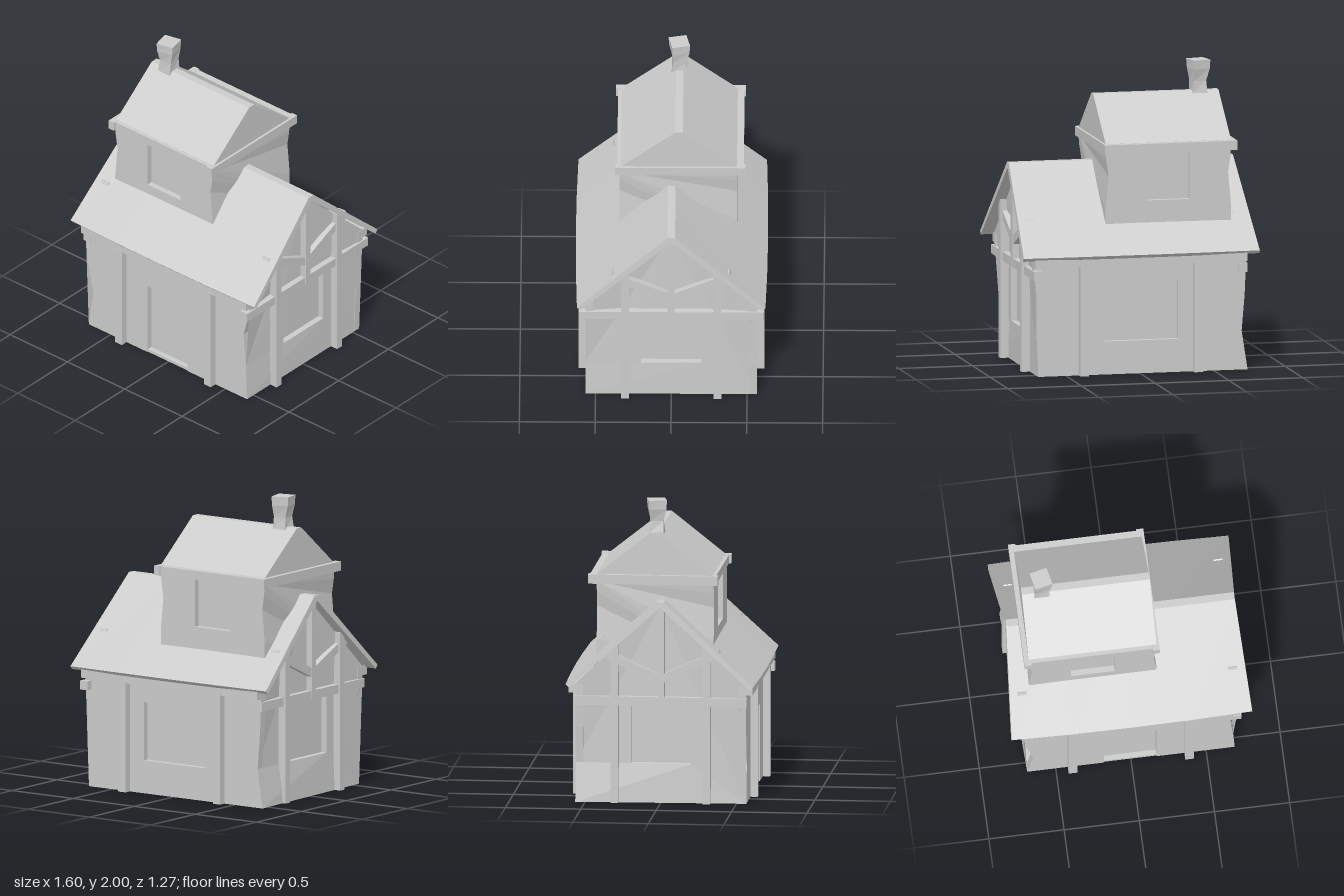
import * as THREE from 'three';

const grey = new THREE.MeshStandardMaterial({ color: 0xcccccc, side: THREE.DoubleSide });

export function createModel() {
  const house = new THREE.Group();
  house.name = 'house';

  function add(name, geo) {
    const m = new THREE.Mesh(geo, grey);
    m.name = name;
    house.add(m);
    return m;
  }

  // Box given by its extents on each axis
  function box(name, x0, x1, y0, y1, z0, z1) {
    const m = add(name, new THREE.BoxGeometry(x1 - x0, y1 - y0, z1 - z0));
    m.position.set((x0 + x1) / 2, (y0 + y1) / 2, (z0 + z1) / 2);
    return m;
  }

  // Wall panel: outline points are [u, y, outward bulge]; opening is [u0, u1, y0, y1]
  const DEPTH = 0.05;
  function wall(name, turn, position, outline, opening) {
    const shape = new THREE.Shape(outline.map(([u, y]) => new THREE.Vector2(u, y)));
    const group = new THREE.Group();
    group.name = name;
    if (opening) {
      const [a, b, c, d] = opening;
      shape.holes.push(new THREE.Path([[a, c], [a, d], [b, d], [b, c]].map(p => new THREE.Vector2(...p))));
      const pane = new THREE.Mesh(new THREE.BoxGeometry(b - a + 0.04, d - c + 0.04, 0.02), grey);
      pane.name = name + 'Pane';
      pane.position.set((a + b) / 2, (c + d) / 2, -0.05);
      group.add(pane);
    }
    const geo = new THREE.ExtrudeGeometry(shape, { depth: DEPTH, bevelEnabled: false });
    geo.translate(0, 0, -DEPTH);
    const p = geo.attributes.position;
    for (let i = 0; i < p.count; i++) {
      const hit = outline.find(([u, y]) => Math.abs(u - p.getX(i)) < 1e-4 && Math.abs(y - p.getY(i)) < 1e-4);
      if (hit) p.setZ(i, p.getZ(i) + (hit[2] || 0));
    }
    geo.computeVertexNormals();
    const panel = new THREE.Mesh(geo, grey);
    panel.name = name + 'Panel';
    group.add(panel);
    group.rotation.y = turn;
    group.position.set(...position);
    house.add(group);
  }

  // Crooked corners of the ground floor: distance from x = 0 at each height
  const heights = [0, 0.26, 0.5, 0.72, 0.79];
  const frontLeft = [0.69, 0.68, 0.66, 0.72, 0.72];
  const frontRight = [0.69, 0.65, 0.7, 0.72, 0.72];
  const backLeft = [0.69, 0.7, 0.7, 0.72, 0.72];
  const backRight = [0.73, 0.69, 0.71, 0.72, 0.72];
  const HALF_Z = 0.565, SIDE_X = 0.69;

  const longWall = (minus, plus, bottom = []) => [
    ...heights.map((y, i) => [-minus[i], y]).reverse(),
    ...bottom,
    ...heights.map((y, i) => [plus[i], y]),
  ];
  const gableWall = (minus, plus) => [
    ...heights.map((y, i) => [-HALF_Z, y, minus[i] - SIDE_X]).reverse(),
    ...heights.map((y, i) => [HALF_Z, y, plus[i] - SIDE_X]),
    [0, 1.32, 0],
  ];

  const doorway = [[-0.18, 0], [-0.18, 0.52], [0.17, 0.52], [0.17, 0]];
  wall('frontWall', 0, [0, 0, HALF_Z], longWall(frontRight, frontLeft, doorway));
  box('door', -0.2, 0.19, 0, 0.54, HALF_Z - 0.06, HALF_Z - 0.04);
  wall('backWall', Math.PI, [0, 0, -HALF_Z], longWall(backLeft, backRight), [-0.24, 0.26, 0.22, 0.61]);
  wall('leftWall', Math.PI / 2, [SIDE_X, 0, 0], gableWall(frontLeft, backLeft), [-0.2, 0.2, 0.26, 0.65]);
  wall('rightWall', -Math.PI / 2, [-SIDE_X, 0, 0], gableWall(backRight, frontRight), [-0.2, 0.2, 0.26, 0.65]);
  box('floor', -0.69, 0.69, 0, 0.02, -0.56, 0.56);

  // Timber frame on the long sides
  for (const s of [1, -1]) {
    const span = (a, b) => (s > 0 ? [a, b] : [-b, -a]);
    const side = s > 0 ? 'front' : 'back';
    box(side + 'Beam', -0.72, 0.72, 0.73, 0.79, ...span(0.55, 0.61));
    for (const x of [-0.39, 0.385]) box(side + 'Post', x - 0.03, x + 0.03, 0, 0.74, ...span(0.54, 0.613));
  }

  // Timber frame on the gable sides
  for (const s of [1, -1]) {
    const span = (a, b) => (s > 0 ? [a, b] : [-b, -a]);
    const half = s > 0 ? 0.61 : 0.57;
    box('gableBeam', ...span(0.67, 0.73), 0.65, 0.71, -half, half);
    box('kingPost', ...span(0.67, 0.735), 0.66, 1.33, -0.02, 0.025);
    for (const t of [1, -1]) {
      box('gablePost', ...span(0.67, 0.745), 0, 1.06, t * 0.305 - 0.025, t * 0.305 + 0.025);
      const brace = box('gableBrace', ...span(0.67, 0.73), 0.89, 0.945, -0.215, 0.215);
      brace.position.z = t * 0.2;
      brace.rotation.x = -t * Math.atan(0.46);
    }
  }

  // Main roof: a chevron slab, flared towards the eaves and slightly bowed along its length
  const chevron = new THREE.Shape([
    [0.622, 0.8], [0.025, 1.35], [-0.025, 1.35], [-0.622, 0.8], [-0.6, 0.778], [0, 1.315], [0.6, 0.778],
  ].map(p => new THREE.Vector2(...p)));
  const roof = new THREE.ExtrudeGeometry(chevron, { depth: 2, steps: 4, bevelEnabled: false });
  roof.translate(0, 0, -1).rotateY(Math.PI / 2);
  const rp = roof.attributes.position;
  for (let i = 0; i < rp.count; i++) {
    const t = rp.getX(i), y = rp.getY(i);
    rp.setX(i, t * (0.76 + 0.04 * (1.35 - y) / 0.55));
    rp.setZ(i, rp.getZ(i) * (1 + 0.02 * (1 - t * t)));
  }
  roof.computeVertexNormals();
  add('mainRoof', roof);

  // Upper storey with pinched corners
  const CX = -0.225, CZ = -0.043, HX = 0.425, HZ = 0.388;
  const upperEdge = [[0.94, 0], [1.08, 0], [1.3, -0.02], [1.4, -0.005], [1.47, 0]];
  const upperOutline = (half, pinchU, pinchOut) => [
    ...upperEdge.map(([y, d]) => [-half - d * pinchU, y, d * pinchOut]).reverse(),
    ...upperEdge.map(([y, d]) => [half + d * pinchU, y, d * pinchOut]),
  ];
  const upperLong = upperOutline(HX, 1, 0), upperShort = upperOutline(HZ, 0, 1);
  wall('upperFrontWall', 0, [CX, 0, CZ + HZ], upperLong, [-0.145, 0.145, 1.13, 1.45]);
  wall('upperBackWall', Math.PI, [CX, 0, CZ - HZ], upperLong, [-0.145, 0.145, 1.13, 1.45]);
  wall('upperLeftWall', Math.PI / 2, [CX + HX, 0, CZ], upperShort);
  wall('upperRightWall', -Math.PI / 2, [CX - HX, 0, CZ], upperShort);

  // Eaves beams around the upper storey
  box('upperFrontBeam', -0.66, 0.2, 1.456, 1.514, 0.3, 0.36);
  box('upperBackBeam', -0.66, 0.2, 1.456, 1.514, -0.475, -0.41);
  box('upperLeftBeam', 0.17, 0.217, 1.454, 1.516, -0.485, 0.375);
  box('upperRightBeam', -0.682, -0.635, 1.454, 1.516, -0.485, 0.375);

  // Upper roof: solid gabled prism
  const gable = new THREE.Shape([
    [-0.382, 1.46], [0.382, 1.46], [0.382, 1.515], [0.025, 1.797], [-0.025, 1.797], [-0.382, 1.515],
  ].map(p => new THREE.Vector2(...p)));
  const upperRoof = new THREE.ExtrudeGeometry(gable, { depth: 0.85, bevelEnabled: false });
  upperRoof.translate(0, 0, -0.425).rotateY(Math.PI / 2).translate(CX, 0, CZ - 0.005);
  add('upperRoof', upperRoof);

  // Chimney: crooked square stack, rows of [height, half width, twist, x shift]
  const rows = [[1.7, 0.05, 0, 0], [1.78, 0.05, 0, 0], [1.86, 0.044, 0.1, 0.004], [1.94, 0.057, 0.2, 0], [2, 0.06, 0.22, 0]];
  const stack = new THREE.BoxGeometry(2, rows.length - 1, 2, 1, rows.length - 1, 1).toNonIndexed();
  const sp = stack.attributes.position;
  for (let i = 0; i < sp.count; i++) {
    const [y, w, a, dx] = rows[Math.round(sp.getY(i) + (rows.length - 1) / 2)];
    const x = sp.getX(i) * w, z = sp.getZ(i) * w;
    sp.setXYZ(i, -0.52 + dx + x * Math.cos(a) + z * Math.sin(a), y, -0.045 - x * Math.sin(a) + z * Math.cos(a));
  }
  stack.computeVertexNormals();
  add('chimney', stack);

  return house;
}
